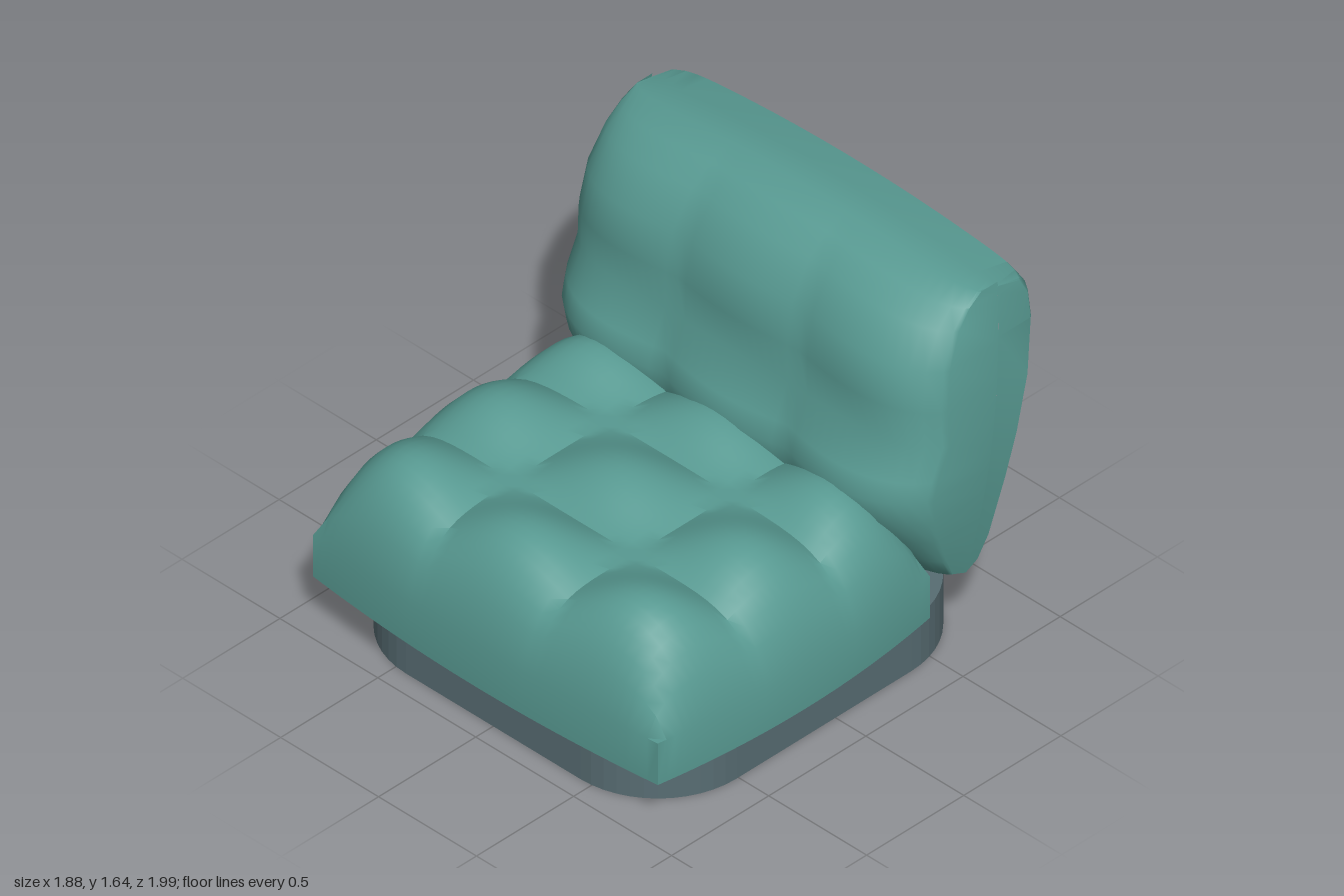
import * as THREE from 'three';
import { toCreasedNormals } from 'three/addons/utils/BufferGeometryUtils.js';

const teal = new THREE.MeshStandardMaterial({ color: 0x589a92 });
teal.name = 'teal fabric';
const slate = new THREE.MeshStandardMaterial({ color: 0x586d73 });
slate.name = 'slate plinth';

// Cushion falloff: 1 in the middle, 0 at the rim
const dome = (u) => Math.pow(Math.max(0, 1 - Math.pow(Math.abs(u), 8)), 0.7);
// Three pillows across -1..1, with sharp valleys at +-1/3
const pillow = (u) => Math.abs(Math.cos(1.5 * Math.PI * u));

// Plinth: rounded rectangle with faceted corners
function makeBase() {
  const w = 0.845, front = -0.91, back = 0.79, r = 0.4;
  const s = new THREE.Shape();
  s.absarc(w - r, back - r, r, 0, Math.PI / 2);
  s.absarc(-w + r, back - r, r, Math.PI / 2, Math.PI);
  s.absarc(-w + r, front + r, r, Math.PI, Math.PI * 1.5);
  s.absarc(w - r, front + r, r, Math.PI * 1.5, Math.PI * 2);
  const g = new THREE.ExtrudeGeometry(s, { depth: 0.23, bevelEnabled: false, curveSegments: 6 });
  return g.rotateX(-Math.PI / 2);
}

// Seat: box with bulging sides and a 3 x 3 tufted top
function makeSeat() {
  const g = new THREE.BoxGeometry(2, 2, 2, 36, 1, 36);
  const p = g.attributes.position;
  for (let i = 0; i < p.count; i++) {
    const u = p.getX(i), v = p.getZ(i);
    const top = 0.42 + 0.31 * dome(u) * dome(v) + 0.1 * pillow(u) * pillow(v);
    p.setXYZ(i,
      u * (0.94 - 0.06 * v * v),
      p.getY(i) > 0 ? top : 0.23,
      0.25 + v * (0.75 - 0.05 * u * u));
  }
  return toCreasedNormals(g, 0.7);
}

// Backrest: side profile [z, y, tuft depth] lofted across the width
const PROFILE = [
  [-0.63, 0.28, 0], [-0.50, 0.32, 0], [-0.42, 0.42, 0.01], [-0.32, 0.56, 0.03],
  [-0.25, 0.68, 0.04], [-0.22, 0.80, 0.05], [-0.25, 0.89, 0.04], [-0.34, 1.03, 0],
  [-0.32, 1.20, 0.03], [-0.35, 1.38, 0.03], [-0.45, 1.53, 0.02], [-0.55, 1.60, 0.01],
  [-0.66, 1.64, 0], [-0.80, 1.62, 0], [-0.94, 1.59, 0], [-0.985, 1.52, 0],
  [-0.99, 1.40, 0], [-0.95, 1.15, 0], [-0.88, 0.90, 0], [-0.82, 0.70, 0],
  [-0.75, 0.43, 0], [-0.70, 0.32, 0],
];

function makeBackrest() {
  // Rings are [u, depth scale]; the end rings collapse to close the sides
  const rings = [[-1, 0], [-1, 1], [-0.99, 1]];
  for (let i = -17; i <= 17; i++) rings.push([i / 18, 1]);
  rings.push([0.99, 1], [1, 1], [1, 0]);

  const pos = [], idx = [], n = PROFILE.length;
  for (const [u, scale] of rings) {
    for (const [z, y, tuft] of PROFILE) {
      const mid = -0.6 - 0.12 * y;
      const t = (y - 0.95) / 0.69;
      const isFront = z > mid;
      const fall = isFront ? 0.6 + 0.4 * dome(u) : 1 - 0.25 * Math.pow(Math.abs(u), 20);
      const depth = (z - mid) * fall - tuft * (1 - pillow(u)) * dome(u);
      pos.push(
        u * (0.94 - 0.06 * t * t),
        0.95 + (y - 0.95) * (1 - 0.09 * u * u),
        mid + depth * scale);
    }
  }
  for (let r = 0; r < rings.length - 1; r++) {
    for (let k = 0; k < n; k++) {
      const a = r * n + k, b = r * n + (k + 1) % n, c = a + n, d = b + n;
      idx.push(a, c, b, b, c, d);
    }
  }
  const g = new THREE.BufferGeometry();
  g.setAttribute('position', new THREE.Float32BufferAttribute(pos, 3));
  g.setIndex(idx);
  return toCreasedNormals(g, 0.75);
}

export function createModel() {
  const model = new THREE.Group();
  model.name = 'loungeChair';
  const add = (name, geometry, material) => {
    const mesh = new THREE.Mesh(geometry, material);
    mesh.name = name;
    model.add(mesh);
  };
  add('base', makeBase(), slate);
  add('seatCushion', makeSeat(), teal);
  add('backrest', makeBackrest(), teal);
  return model;
}
